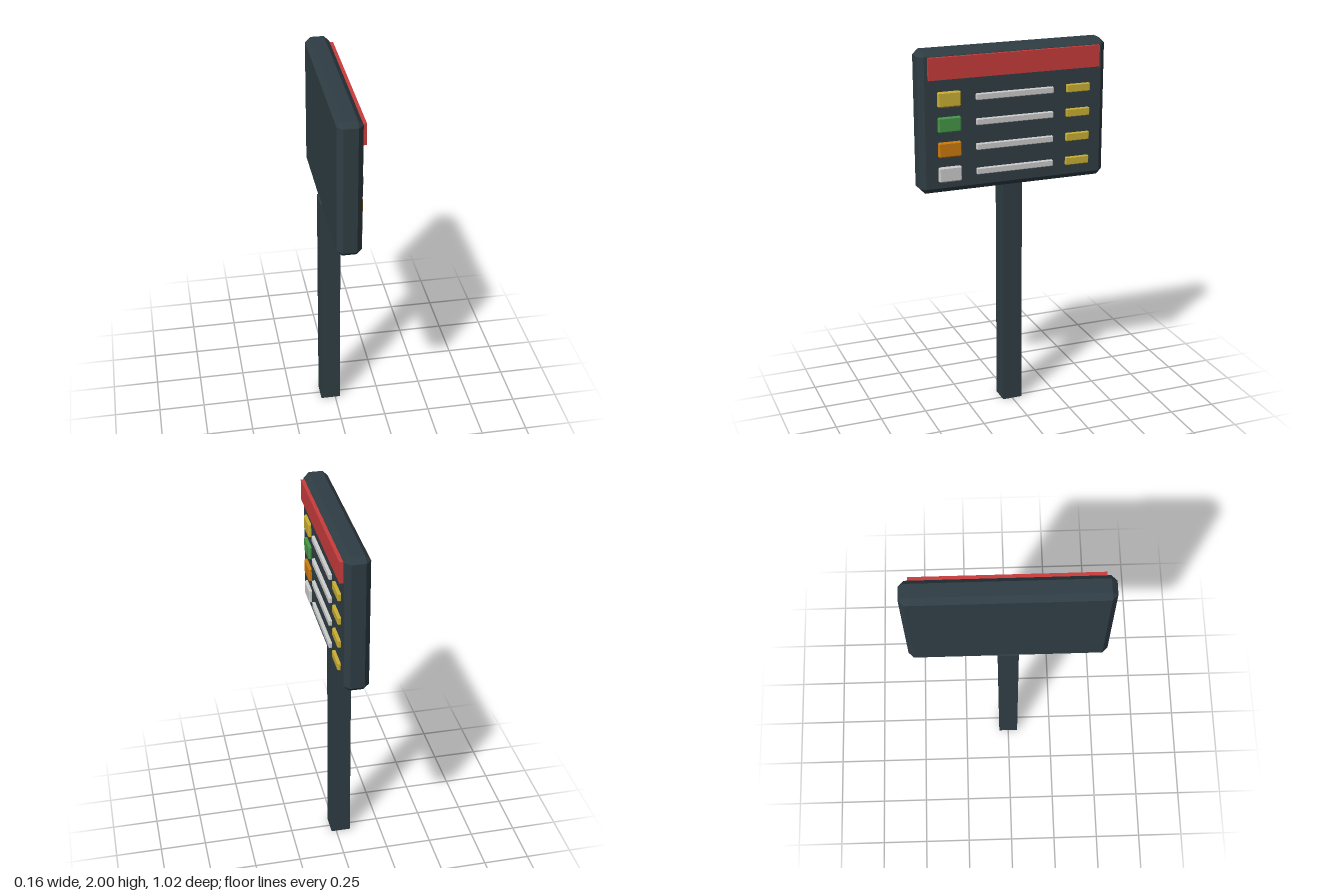
import * as THREE from 'three';
import { ConvexGeometry } from 'three/addons/geometries/ConvexGeometry.js';

const paint = (name, color) => {
  const m = new THREE.MeshStandardMaterial({ color });
  m.name = name;
  return m;
};

// Box from min to max with every edge and corner cut by c
function chamferBox([x0, y0, z0], [x1, y1, z1], c) {
  const half = [(x1 - x0) / 2, (y1 - y0) / 2, (z1 - z0) / 2];
  const points = [];
  for (const sx of [-1, 1]) for (const sy of [-1, 1]) for (const sz of [-1, 1]) {
    for (let axis = 0; axis < 3; axis++) {
      const p = half.map((h, i) => (i === axis ? h : h - c));
      points.push(new THREE.Vector3(p[0] * sx, p[1] * sy, p[2] * sz));
    }
  }
  return new ConvexGeometry(points).translate((x0 + x1) / 2, (y0 + y1) / 2, (z0 + z1) / 2);
}

function plainBox([x0, y0, z0], [x1, y1, z1]) {
  return new THREE.BoxGeometry(x1 - x0, y1 - y0, z1 - z0)
    .translate((x0 + x1) / 2, (y0 + y1) / 2, (z0 + z1) / 2);
}

export function createModel() {
  const slate = paint('slate', 0x2f3d44);
  const red = paint('red', 0xc93c3c);
  const yellow = paint('yellow', 0xc9ae33);
  const green = paint('green', 0x459648);
  const orange = paint('orange', 0xcc7a0e);
  const pale = paint('pale grey', 0xcccccc);

  const model = new THREE.Group();
  model.name = 'signpost';
  const add = (name, geometry, material, parent = model) => {
    const mesh = new THREE.Mesh(geometry, material);
    mesh.name = name;
    parent.add(mesh);
  };

  // Post and board
  add('post', plainBox([-0.08, 0, -0.054], [0.027, 1.3, 0.054]), slate);
  add('board', chamferBox([-0.07, 1.26, -0.51], [0.058, 2, 0.51], 0.028), slate);
  add('headerPanel', plainBox([0.03, 1.857, -0.465], [0.077, 1.97, 0.465]), red);

  // Four rows: icon, line bar and tag, facing +x
  [yellow, green, orange, pale].forEach((iconColor, i) => {
    const y = 1.753 - i * 0.1307;
    const row = new THREE.Group();
    row.name = `row${i + 1}`;
    model.add(row);
    const plate = (name, z0, z1, h, c, material) =>
      add(name, chamferBox([0.04, y - h / 2, z0], [0.074, y + h / 2, z1], c), material, row);
    plate('icon', 0.293, 0.417, 0.08, 0.007, iconColor);
    plate('lineBar', -0.212, 0.212, 0.034, 0.004, pale);
    plate('tag', -0.416, -0.285, 0.043, 0.004, yellow);
  });
  return model;
}
